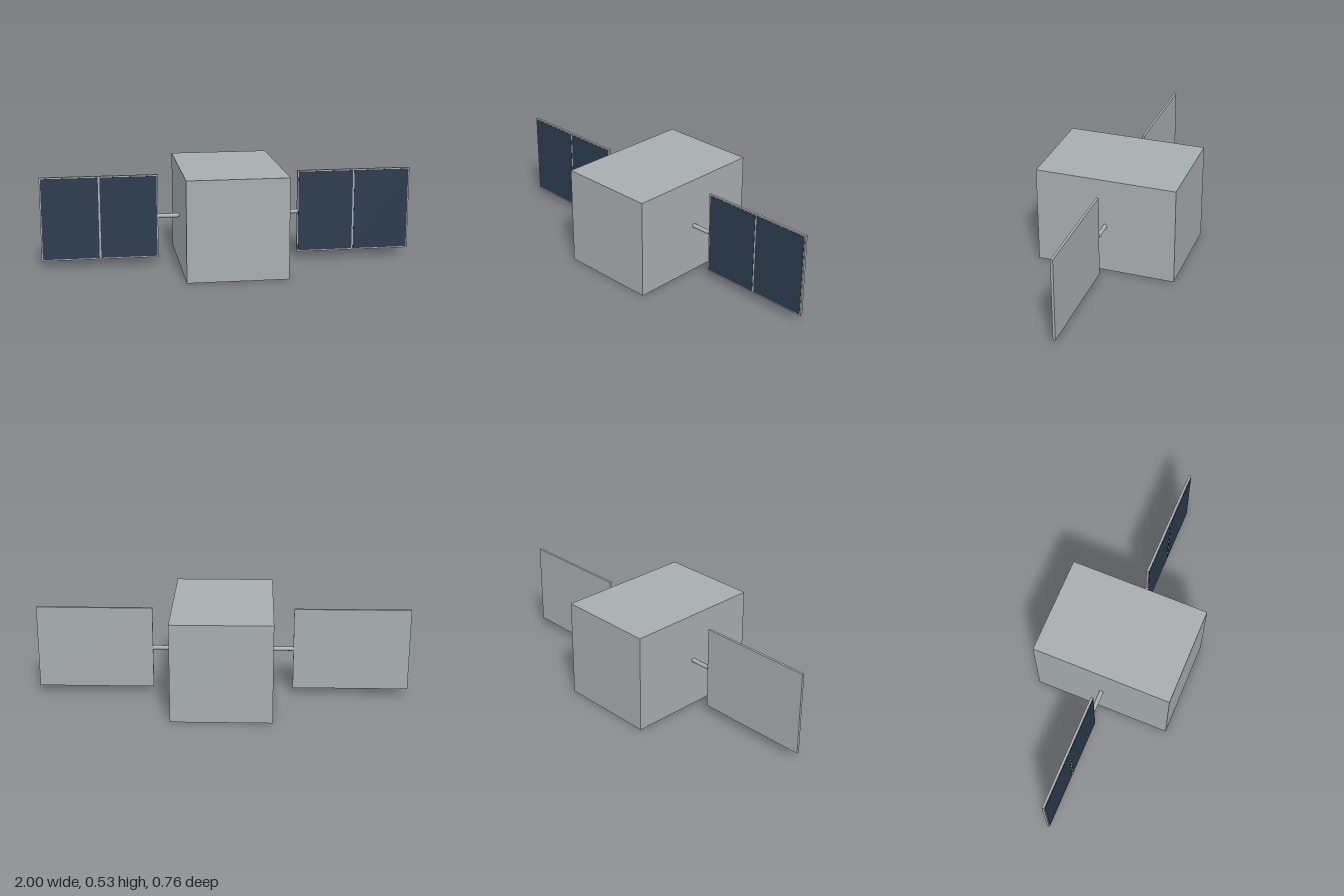
import * as THREE from 'three';

export function createModel() {
  const model = new THREE.Group();
  model.name = 'satellite';
  const grey = new THREE.MeshStandardMaterial({ color: 0xa7acaf });
  grey.name = 'hull grey';
  const navy = new THREE.MeshStandardMaterial({ color: 0x2c3a4d });
  navy.name = 'solar cell navy';

  const midY = 0.267;

  function addBox(parent, name, size, position, material) {
    const mesh = new THREE.Mesh(new THREE.BoxGeometry(...size), material);
    mesh.name = name;
    mesh.position.set(...position);
    parent.add(mesh);
  }

  // Main body
  addBox(model, 'body', [0.532, 0.534, 0.756], [0, midY, 0], grey);

  // One boom and solar panel on each side
  for (const side of [1, -1]) {
    const wing = new THREE.Group();
    wing.name = side > 0 ? 'leftWing' : 'rightWing';
    wing.position.y = midY;
    model.add(wing);

    const boom = new THREE.Mesh(new THREE.CylinderGeometry(0.0115, 0.0115, 0.114, 16), grey);
    boom.name = 'boom';
    boom.rotation.z = Math.PI / 2;
    boom.position.x = side * 0.322;
    wing.add(boom);

    addBox(wing, 'panelFrame', [0.622, 0.452, 0.013], [side * 0.689, 0, -0.0005], grey);

    // Two cell plates on the front face
    for (const half of [1, -1]) {
      addBox(wing, 'solarCell', [0.3, 0.438, 0.003], [side * 0.689 + half * 0.1545, 0, 0.006], navy);
    }
  }
  return model;
}
